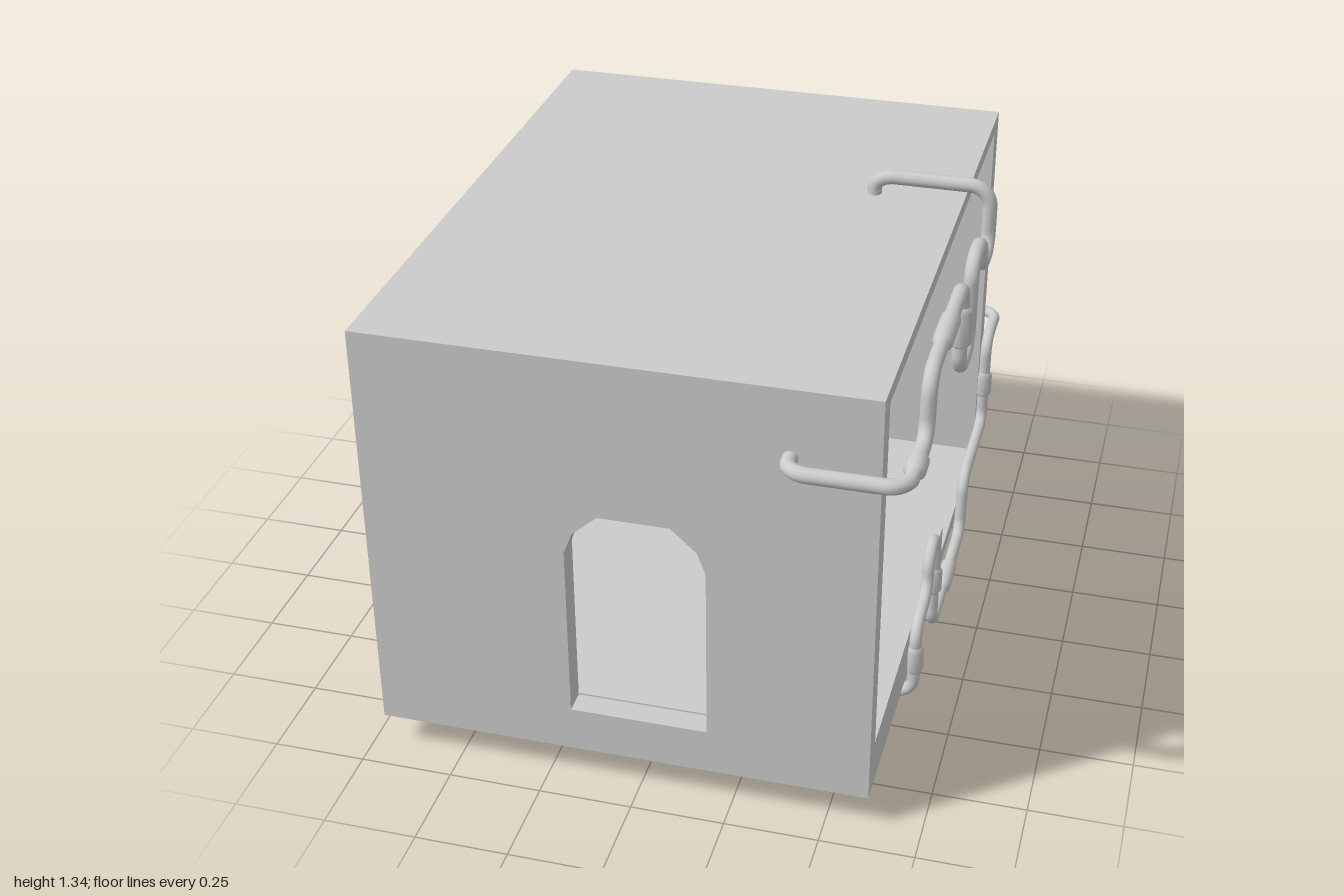
import * as THREE from 'three';

const V = (x, y, z) => new THREE.Vector3(x, y, z);

export function createModel() {
  const model = new THREE.Group();
  model.name = 'pumpRoom';
  const flat = new THREE.MeshStandardMaterial({ color: 0xcccccc, flatShading: true });
  const smooth = new THREE.MeshStandardMaterial({ color: 0xcccccc, side: THREE.DoubleSide });

  function add(parent, name, geometry, material = flat) {
    const mesh = new THREE.Mesh(geometry, material);
    mesh.name = name;
    parent.add(mesh);
    return mesh;
  }

  // Box given by its lower and upper corners
  function block(parent, name, x0, x1, y0, y1, z0, z1) {
    add(parent, name, new THREE.BoxGeometry(x1 - x0, y1 - y0, z1 - z0))
      .position.set((x0 + x1) / 2, (y0 + y1) / 2, (z0 + z1) / 2);
  }

  // Pipe through corner points, with rounded bends
  function pipe(parent, name, corners, radius, bend) {
    const path = new THREE.CurvePath();
    let from = corners[0];
    for (let i = 1; i < corners.length - 1; i++) {
      const c = corners[i];
      const toward = (p) => {
        const d = p.clone().sub(c);
        return c.clone().addScaledVector(d.clone().normalize(), Math.min(bend, d.length() * 0.48));
      };
      const a = toward(corners[i - 1]), b = toward(corners[i + 1]);
      path.add(new THREE.LineCurve3(from, a));
      path.add(new THREE.CubicBezierCurve3(a, a.clone().lerp(c, 0.55), b.clone().lerp(c, 0.55), b));
      from = b;
    }
    path.add(new THREE.LineCurve3(from, corners[corners.length - 1]));
    const segments = Math.ceil(path.getLength() / 0.011);
    add(parent, name, new THREE.TubeGeometry(path, segments, radius, 12), smooth);
  }

  // Sleeve around a straight stretch of pipe, with tapered ends
  function collar(parent, a, b, radius, inner) {
    const l = a.distanceTo(b), t = 0.012;
    const profile = [[inner, 0], [radius, t], [radius, l - t], [inner, l]]
      .map(([r, y]) => new THREE.Vector2(r, y));
    const mesh = add(parent, 'pipeCollar', new THREE.LatheGeometry(profile, 14), smooth);
    mesh.position.copy(a);
    mesh.quaternion.setFromUnitVectors(V(0, 1, 0), b.clone().sub(a).normalize());
  }

  // Room shell, open on its +x side
  const room = new THREE.Group();
  room.name = 'room';
  model.add(room);
  const X0 = -0.715, X1 = 0.61, Y0 = 0.095, Y1 = 1.27;

  // End wall with a faceted arched doorway
  function doorWall(name, z0, depth, sill, side) {
    const wall = new THREE.Shape([[X0, Y0], [X1, Y0], [X1, Y1], [X0, Y1]]
      .map(([x, y]) => new THREE.Vector2(x, y)));
    const left = side.map(([x, y]) => new THREE.Vector2(-x, y)).reverse();
    const w = side[0][0];
    wall.holes.push(new THREE.Path([
      new THREE.Vector2(-w, sill), new THREE.Vector2(w, sill),
      ...side.map(([x, y]) => new THREE.Vector2(x, y)), ...left]));
    add(room, name, new THREE.ExtrudeGeometry(wall, { depth, bevelEnabled: false })).position.z = z0;
  }
  doorWall('frontWall', 0.85, 0.065, 0.222, [[0.183, 0.715], [0.16, 0.775], [0.093, 0.835]]);
  doorWall('backWall', -0.83, 0.07, 0.3, [[0.14, 0.67], [0.122, 0.722], [0.085, 0.745]]);
  block(room, 'ceiling', X0, X1, 1.23, Y1, -0.76, 0.85);
  block(room, 'leftWall', X0, -0.655, Y0, 1.23, -0.76, 0.85);
  block(room, 'upperFloor', -0.655, X1, Y0, 0.227, -0.165, 0.85);
  block(room, 'lowerFloor', -0.655, X1, Y0, 0.138, -0.76, -0.165);
  block(room, 'doorLedge', -0.14, 0.14, 0.245, 0.304, -0.76, -0.612);

  // Round basin on a stem, its rim open toward the ledge
  const basin = new THREE.Group();
  basin.name = 'basin';
  basin.position.z = -0.49;
  model.add(basin);
  const R = 0.15, gap = 0.56, start = Math.PI / 2 + gap, end = Math.PI * 2.5 - gap;
  const rim = new THREE.Shape();
  rim.absarc(0, 0, R, start, end, false);
  rim.absarc(0, 0, R - 0.014, end, start, true);
  const dish = new THREE.Shape();
  dish.absarc(0, 0, R - 0.007, start, end, false);
  const extrudeUp = (shape, depth, y) =>
    new THREE.ExtrudeGeometry(shape, { depth, bevelEnabled: false, curveSegments: 32 })
      .rotateX(-Math.PI / 2).translate(0, y, 0);
  add(basin, 'basinRim', extrudeUp(rim, 0.108, 0.26));
  add(basin, 'basinFloor', extrudeUp(dish, 0.02, 0.261));
  add(basin, 'basinStem', new THREE.CylinderGeometry(0.075, 0.075, 0.125, 32)).position.y = 0.2;

  // Upper outside pipe, from the front wall round to the roof
  const upper = new THREE.Group();
  upper.name = 'upperPipe';
  model.add(upper);
  const ux = 0.682;
  pipe(upper, 'upperPipeRun', [
    V(0.39, 1.085, 0.89), V(0.39, 1.085, 0.98), V(ux, 1.085, 0.98), V(ux, 1.085, 0.745),
    V(ux, 1.25, 0.73), V(ux, 1.25, 0.25), V(ux, 0.99, 0.25), V(ux, 0.99, 0.105),
    V(ux, 1.235, 0.105), V(ux, 1.235, -0.05), V(ux, 1.14, -0.055), V(ux, 1.14, -0.185),
    V(ux, 1.322, -0.185), V(0.365, 1.322, -0.185), V(0.365, 1.25, -0.185)], 0.02, 0.055);
  collar(upper, V(ux, 1.085, 0.835), V(ux, 1.085, 0.91), 0.027, 0.02);
  collar(upper, V(ux, 1.25, 0.435), V(ux, 1.25, 0.58), 0.026, 0.02);
  collar(upper, V(ux, 1.07, 0.25), V(ux, 1.185, 0.25), 0.031, 0.02);

  // Lower outside pipe, from under the floor round to the back wall
  const lower = new THREE.Group();
  lower.name = 'lowerPipe';
  model.add(lower);
  const lx = 0.627;
  pipe(lower, 'lowerPipeRun', [
    V(0.282, 0.12, 0.365), V(0.282, 0.02, 0.365), V(lx, 0.02, 0.365), V(lx, 0.24, 0.365),
    V(lx, 0.255, 0.21), V(lx, 0.375, 0.19), V(lx, 0.37, 0.085), V(lx, 0.053, 0.085),
    V(lx, 0.053, -0.41), V(lx, 0.235, -0.435), V(lx, 0.235, -0.78), V(lx, 0.525, -0.785),
    V(lx, 0.525, -0.982), V(0.42, 0.525, -0.982), V(0.42, 0.525, -0.81)], 0.017, 0.05);
  collar(lower, V(lx, 0.095, 0.365), V(lx, 0.18, 0.365), 0.025, 0.017);
  collar(lower, V(lx, 0.17, 0.085), V(lx, 0.255, 0.085), 0.024, 0.017);
  collar(lower, V(lx, 0.053, -0.1), V(lx, 0.053, -0.235), 0.023, 0.017);
  collar(lower, V(lx, 0.33, -0.783), V(lx, 0.415, -0.783), 0.024, 0.017);

  // Short pipe hanging under the ceiling
  const hanging = new THREE.Group();
  hanging.name = 'ceilingPipe';
  model.add(hanging);
  pipe(hanging, 'ceilingPipeRun', [
    V(0.23, 1.24, 0.44), V(0.23, 1.13, 0.44), V(0.23, 1.13, 0.16),
    V(0.23, 1.06, 0.16), V(-0.09, 1.06, 0.16), V(-0.09, 1.24, 0.16)], 0.014, 0.035);
  collar(hanging, V(-0.09, 1.12, 0.16), V(-0.09, 1.21, 0.16), 0.02, 0.014);

  // Pair of tanks on the left wall, joined by pipes leading to the back wall
  const tanks = new THREE.Group();
  tanks.name = 'tanks';
  model.add(tanks);
  const tx = -0.555;
  const tankProfile = [[0, 0], [0.06, 0], [0.075, 0.018], [0.088, 0.055], [0.097, 0.06],
    [0.097, 0.19], [0.088, 0.195], [0.075, 0.23], [0.06, 0.248], [0, 0.248]]
    .map(([r, y]) => new THREE.Vector2(r, y));
  for (const z of [-0.373, -0.575]) {
    add(tanks, 'tank', new THREE.LatheGeometry(tankProfile, 28), smooth).position.set(tx, 0.978, z);
    const pz = -0.475 + Math.sign(z + 0.475) * 0.095;
    pipe(tanks, 'tankOutlet', [V(tx, 0.99, pz), V(tx, 0.875, pz), V(tx, 0.875, -0.475)], 0.012, 0.05);
  }
  add(tanks, 'pipeJunction', new THREE.SphereGeometry(0.025, 16, 12), smooth).position.set(tx, 0.875, -0.475);
  pipe(tanks, 'drainPipe', [
    V(tx, 0.875, -0.475), V(tx, 0.61, -0.475), V(tx, 0.61, -0.64),
    V(tx, 0.69, -0.65), V(tx, 0.69, -0.78)], 0.01, 0.025);
  collar(tanks, V(tx, 0.62, -0.475), V(tx, 0.7, -0.475), 0.014, 0.01);

  return model;
}
